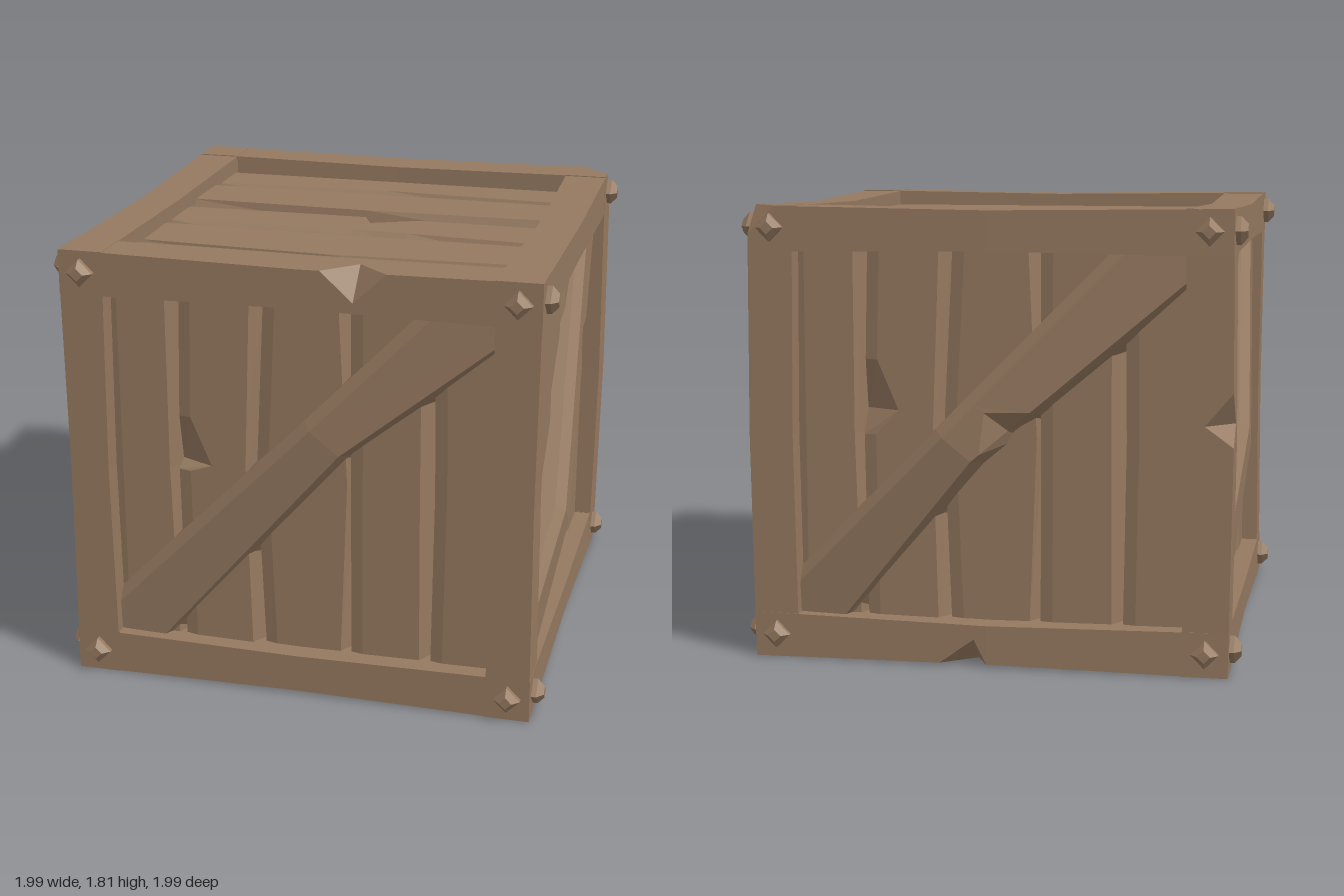
import * as THREE from 'three';

const V = (x, y, z) => new THREE.Vector3(x, y, z);
const CY = 0.915, HALF = 0.95, HALF_Y = 0.905, INNER = 0.18;

const wood = new THREE.MeshStandardMaterial({ color: 0x957960, flatShading: true });
wood.name = 'wood';

// Closed solid through equal-length cross-sections, wound outwards
function loft(sections, name) {
  const tris = [], n = sections[0].length, last = sections.length - 1;
  for (let s = 0; s < last; s++) {
    for (let i = 0; i < n; i++) {
      const j = (i + 1) % n, A = sections[s], B = sections[s + 1];
      tris.push([A[i], A[j], B[j]], [A[i], B[j], B[i]]);
    }
  }
  for (let i = 1; i < n - 1; i++) {
    tris.push([sections[0][0], sections[0][i + 1], sections[0][i]]);
    tris.push([sections[last][0], sections[last][i], sections[last][i + 1]]);
  }
  const origin = sections[0][0], cross = V(0, 0, 0);
  let volume = 0;
  for (const [a, b, c] of tris) {
    cross.crossVectors(b.clone().sub(origin), c.clone().sub(origin));
    volume += a.clone().sub(origin).dot(cross);
  }
  const pos = [];
  for (const [a, b, c] of tris) {
    const area = cross.crossVectors(b.clone().sub(a), c.clone().sub(a)).length();
    if (area < 1e-9) continue;
    for (const p of volume > 0 ? [a, b, c] : [a, c, b]) pos.push(p.x, p.y, p.z);
  }
  const geo = new THREE.BufferGeometry();
  geo.setAttribute('position', new THREE.Float32BufferAttribute(pos, 3));
  geo.computeVertexNormals();
  const mesh = new THREE.Mesh(geo, wood);
  mesh.name = name;
  return mesh;
}

// Value along three evenly spaced samples, k from 0 to 1
const along3 = ([a, b, c], k) => (k < 0.5 ? a + (b - a) * k * 2 : b + (c - b) * (k * 2 - 1));

// Frame beam along an axis; p and q are the signs of the two other axes.
// bend moves the middle of the outer faces; notches chip the outer edge.
function beam(axis, p, q, bend, notches, name) {
  const half = [HALF, HALF_Y, HALF];
  const a1 = (axis + 1) % 3, a2 = (axis + 2) % 3, L = half[axis];
  const ts = [-L, 0, L];
  for (const n of notches) ts.push(n.t - n.h, n.t, n.t + n.h);
  const stations = [...new Set(ts)].filter(t => Math.abs(t) <= L + 1e-6).sort((a, b) => a - b);
  const sections = stations.map(t => {
    const k = 1 - Math.abs(t) / L;
    const o1 = half[a1] + bend[0] * k, o2 = half[a2] + bend[1] * k;
    const i1 = half[a1] - INNER + 0.012 * k, i2 = half[a2] - INNER + 0.012 * k;
    const hit = notches.find(n => n.t === t), d = hit ? hit.d : 0;
    return [[i1, i2], [o1, i2], [o1, o2 - d], [o1 - d, o2], [i1, o2]].map(([u, v]) => {
      const c = [0, 0, 0];
      c[axis] = t; c[a1] = u * p; c[a2] = v * q;
      return V(c[0], c[1] + CY, c[2]);
    });
  });
  return loft(sections, name);
}

// Row of planks: u across, v along, w outwards. Each gap is [edge x3, width x3].
function planks(gaps, top, reach, chip) {
  const group = new THREE.Group();
  group.name = 'planks';
  const end = e => [[e, e, e], [0, 0, 0]];
  const edges = [end(-0.8), ...gaps, end(0.8)];
  for (let i = 0; i < edges.length - 1; i++) {
    const chipped = chip && chip.plank === i;
    const vs = [-reach, 0, reach];
    if (chipped) vs.push(chip.v - 0.2, chip.v, chip.v + 0.2);
    const stations = [...new Set(vs)].sort((a, b) => a - b);
    group.add(loft(stations.map(v => {
      const k = (v + reach) / (2 * reach), lift = [0, 0.008, -0.006][i % 3];
      const a = along3(edges[i][0], k), b = along3(edges[i + 1][0], k);
      const slope = along3(edges[i + 1][1], k), w = top + lift;
      const cutL = chipped && v === chip.v && chip.side < 0;
      const cutR = chipped && v === chip.v && chip.side > 0;
      return [
        V(a, v, top - 0.075),
        V(a, v, w - (cutL ? 0.065 : 0.012)),
        V(a + (cutL ? 0.14 : 0.05), v, w),
        V(b - slope - (cutR ? 0.12 : 0), v, w),
        V(b, v, top - 0.075),
      ];
    }), 'plank'));
  }
  return group;
}

// Diagonal brace, bent at fraction f, with an optional chip in its lower edge
function brace(f, bulge, chip) {
  const stations = [0, f, 1];
  if (chip) stations.push(chip - 0.06, chip, chip + 0.06);
  const mix = THREE.MathUtils.lerp;
  return loft(stations.sort((a, b) => a - b).map(s => {
    const k = s < f ? s / f : (1 - s) / (1 - f);
    const w = mix(0.9, bulge, k);
    const ux = mix(-0.85, 0.66, s), uy = mix(-0.68, 0.86, s);
    const lx = mix(-0.68, 0.85, s) - 0.065 * k, ly = mix(-0.845, 0.69, s) + 0.075 * k;
    const d = s === chip ? 0.08 : 0;
    return [
      V(ux - 0.03, uy + 0.03, 0.8),
      V(ux - 0.03, uy + 0.03, w - 0.04),
      V(ux, uy, w),
      V(lx - d, ly + d, w),
      V(lx, ly, w - d),
      V(lx + 0.04, ly - 0.04, 0.8),
    ];
  }), 'brace');
}

// Square bolt head with a tapered end, pointing along +z
function bolt(x, y) {
  const profile = [[0.055, -0.03], [0.055, 0.02], [0.026, 0.047], [0, 0.047]];
  const geo = new THREE.LatheGeometry(profile.map(([r, h]) => new THREE.Vector2(r, h)), 4);
  const mesh = new THREE.Mesh(geo.rotateX(Math.PI / 2), wood);
  mesh.position.set(x, y, HALF);
  mesh.name = 'bolt';
  return mesh;
}

export function createModel() {
  const model = new THREE.Group();
  model.name = 'crate';

  // Frame: four beams along each axis, with chips and one broken corner
  const frame = new THREE.Group();
  frame.name = 'frame';
  for (const p of [-1, 1]) for (const q of [-1, 1]) {
    const xChips = [], yChips = [], zChips = [];
    if (p > 0 && q > 0) xChips.push({ t: 0.23, h: 0.13, d: 0.12 });
    if (p < 0 && q < 0) xChips.push({ t: 0.05, h: 0.14, d: 0.1 });
    if (p < 0 && q < 0) yChips.push({ t: 0.08, h: 0.13, d: 0.11 });
    if (p > 0 && q < 0) xChips.push({ t: HALF, h: 0.11, d: 0.11 });
    if (p < 0 && q > 0) yChips.push({ t: HALF_Y, h: 0.11, d: 0.11 });
    if (p > 0 && q > 0) zChips.push({ t: -HALF, h: 0.11, d: 0.11 });
    frame.add(beam(0, p, q, [-0.012, q < 0 ? 0.015 : 0], xChips, 'crossBeam'));
    frame.add(beam(1, p, q, [0, p < 0 ? 0.01 : -0.008], yChips, 'cornerPost'));
    frame.add(beam(2, p, q, [0, q > 0 ? -0.02 : -0.035], zChips, 'sideBeam'));
  }
  model.add(frame);

  // Four walls: front, left, back, right
  const gapsA = [
    [[-0.5, -0.51, -0.49], [0.03, 0.04, 0.06]],
    [[-0.16, -0.19, -0.15], [0.05, 0.04, 0.05]],
    [[0.2, 0.2, 0.2], [0.045, 0.015, 0.05]],
    [[0.53, 0.54, 0.53], [0.045, 0.06, 0.05]],
  ];
  const gapsB = [
    [[-0.47, -0.52, -0.48], [0.04, 0.06, 0.03]],
    [[-0.13, -0.15, -0.13], [0.04, 0.015, 0.04]],
    [[0.16, 0.15, 0.16], [0.04, 0.03, 0.045]],
    [[0.51, 0.55, 0.52], [0.03, 0.03, 0.04]],
  ];
  const walls = [
    ['frontWall', gapsA, { plank: 1, v: 0.03, side: -1 }, [0.6, 0.95]],
    ['leftWall', gapsB, { plank: 0, v: 0.03, side: 1 }, [0.3, 0.99, 0.7]],
    ['backWall', gapsA, { plank: 1, v: 0.1, side: -1 }, [0.45, 0.985, 0.53]],
    ['rightWall', gapsB, null, [0.42, 0.97]],
  ];
  walls.forEach(([name, gaps, chip, diagonal], i) => {
    const wall = new THREE.Group();
    wall.name = name;
    wall.add(planks(gaps, 0.87, 0.78, chip), brace(...diagonal));
    for (const x of [-0.86, 0.86]) for (const y of [-0.81, 0.82]) wall.add(bolt(x, y));
    wall.position.y = CY;
    wall.rotation.y = i * Math.PI / 2;
    model.add(wall);
  });

  // Lid and floor, planked from side to side
  const gapsLid = [
    [[-0.51, -0.52, -0.51], [0.035, 0.06, 0.035]],
    [[-0.16, -0.17, -0.165], [0.04, 0.015, 0.04]],
    [[0.15, 0.15, 0.155], [0.035, 0.07, 0.03]],
    [[0.5, 0.515, 0.5], [0.03, 0.01, 0.03]],
  ];
  for (const s of [1, -1]) {
    const panel = planks(gapsLid, 0.83, 0.8, s > 0 ? { plank: 2, v: 0.04, side: -1 } : null);
    panel.name = s > 0 ? 'lid' : 'floor';
    const basis = new THREE.Matrix4().makeBasis(V(0, 0, s), V(1, 0, 0), V(0, s, 0));
    panel.quaternion.setFromRotationMatrix(basis);
    panel.position.y = CY;
    model.add(panel);
  }
  return model;
}
